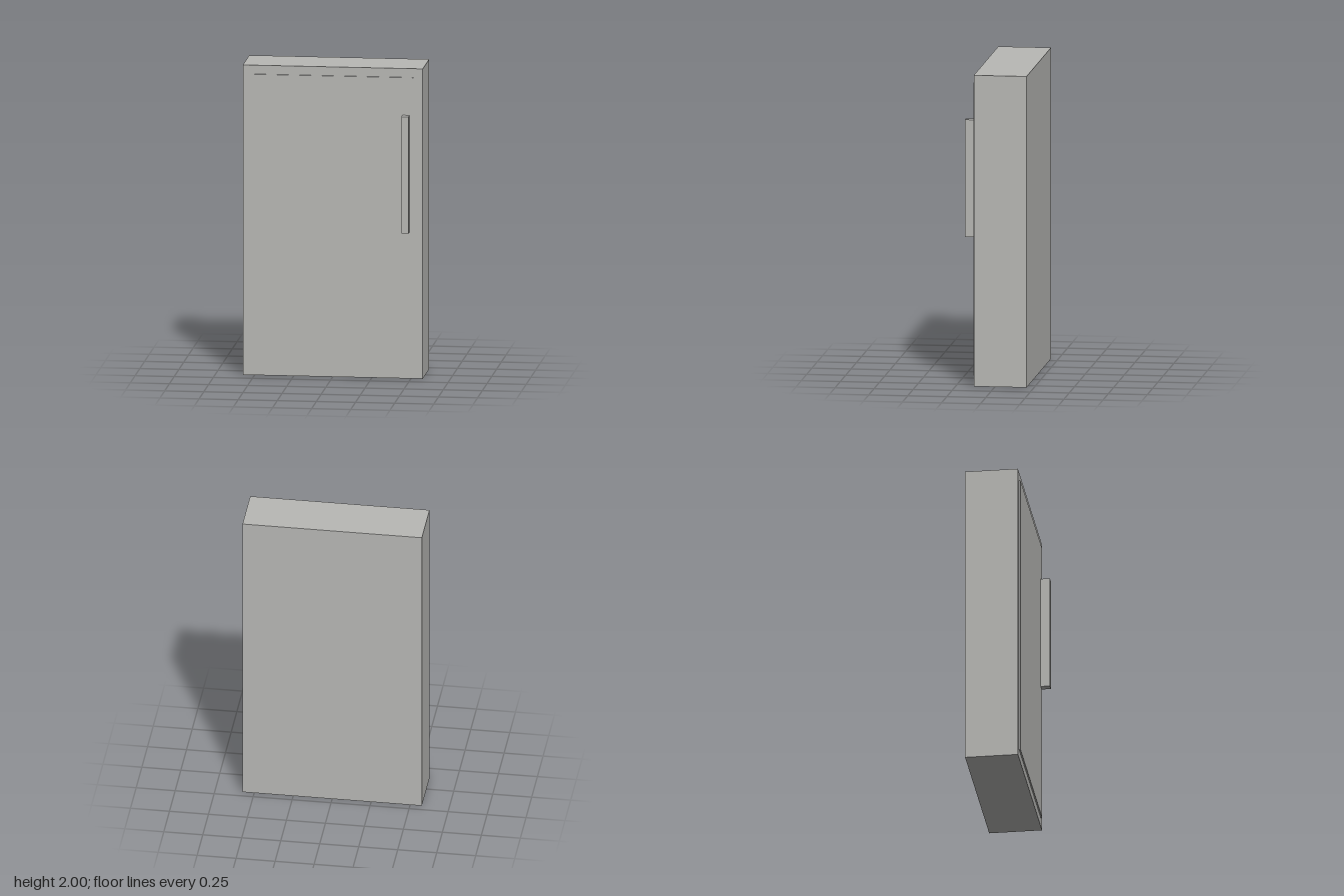
import * as THREE from 'three';

export function createModel() {
  const model = new THREE.Group();
  model.name = 'cabinet';

  const grey = new THREE.MeshStandardMaterial({ color: 0xb8b8b5 });
  grey.name = 'light grey';

  // Adds a box spanning the given [min, max] ranges
  function addBox(name, [x0, x1], [y0, y1], [z0, z1]) {
    const mesh = new THREE.Mesh(new THREE.BoxGeometry(x1 - x0, y1 - y0, z1 - z0), grey);
    mesh.position.set((x0 + x1) / 2, (y0 + y1) / 2, (z0 + z1) / 2);
    mesh.name = name;
    model.add(mesh);
  }

  // Main cabinet body
  addBox('body', [-0.575, 0.575], [0, 2], [-0.203, 0.135]);
  // Thin raised door on the front
  addBox('door', [-0.517, 0.517], [0.06, 1.943], [0.135, 0.144]);
  // Upright bar handle on the door
  addBox('handle', [0.446, 0.492], [0.947, 1.7], [0.144, 0.203]);

  return model;
}
